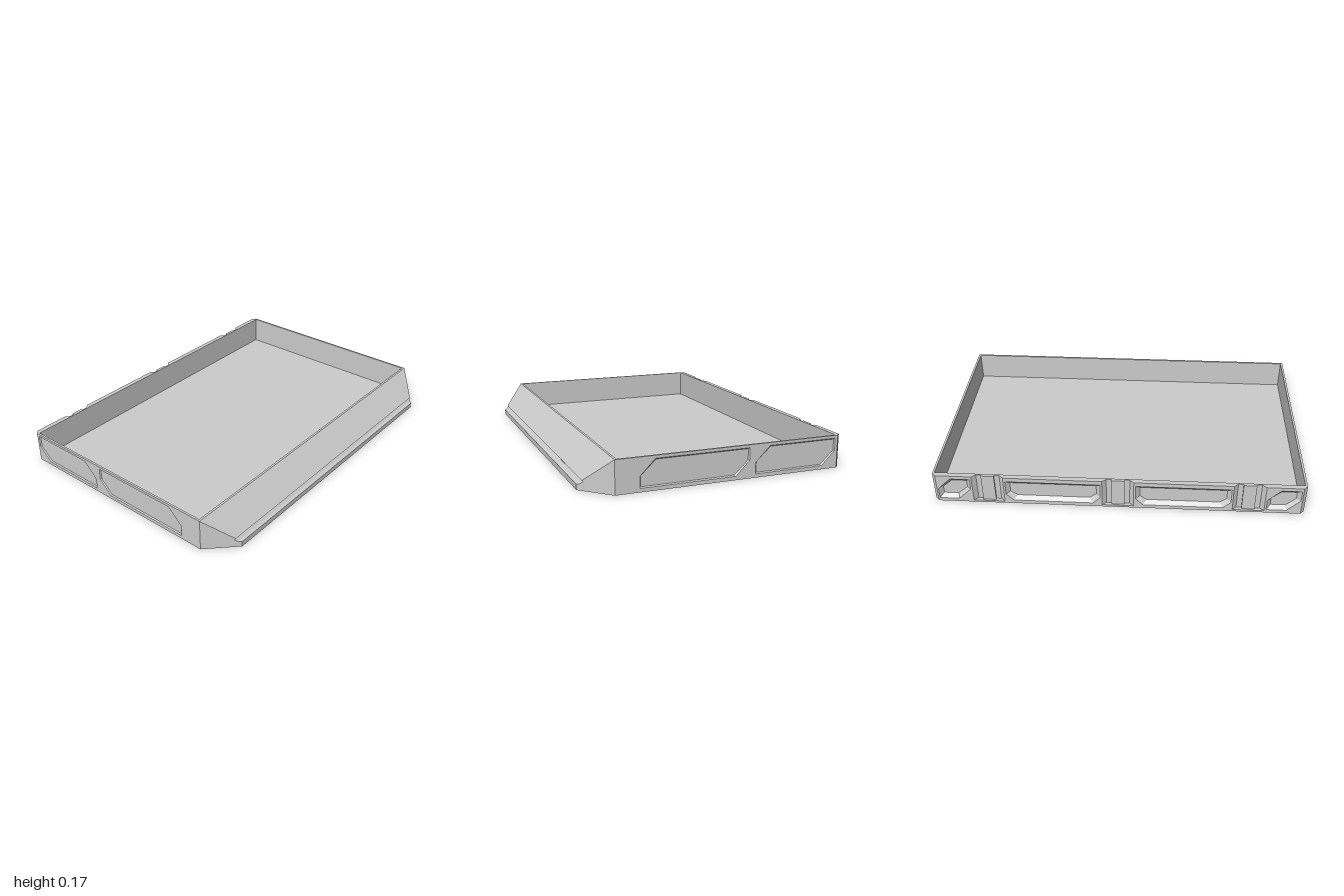
import * as THREE from 'three';

const H = 0.175;        // wall height
const BACK = -0.695;    // rear face
const FRONT = 0.55;     // tray front wall, where the lip begins
const T = 0.012;        // wall and floor thickness
const mat = new THREE.MeshStandardMaterial({ color: 0xcccccc, flatShading: true });
const thin = new THREE.MeshStandardMaterial({ color: 0xcccccc, flatShading: true, side: THREE.DoubleSide });

function add(parent, name, geometry, material = mat) {
  const mesh = new THREE.Mesh(geometry, material);
  mesh.name = name;
  parent.add(mesh);
  return mesh;
}

// Box given by its two extreme corners
function box(parent, name, x0, x1, y0, y1, z0, z1) {
  const g = new THREE.BoxGeometry(x1 - x0, y1 - y0, z1 - z0);
  return add(parent, name, g.translate((x0 + x1) / 2, (y0 + y1) / 2, (z0 + z1) / 2));
}

// Rectangle with optional cut corners, counter-clockwise
function cutRect(x0, x1, y0, y1, { tr = 0, tl = 0, bl = 0, br = 0 } = {}) {
  const p = [];
  const corner = (x, y, c, ax, ay, bx, by) => {
    if (!c) p.push(new THREE.Vector2(x, y));
    else p.push(new THREE.Vector2(x + ax * c, y + ay * c), new THREE.Vector2(x + bx * c, y + by * c));
  };
  corner(x0, y0, bl, 0, 1, 1, 0);
  corner(x1, y0, br, -1, 0, 0, 1);
  corner(x1, y1, tr, 0, -1, -1, 0);
  corner(x0, y1, tl, 1, 0, 0, -1);
  return p;
}

function fromTriangles(list) {
  const g = new THREE.BufferGeometry().setFromPoints(list);
  g.computeVertexNormals();
  return g;
}

// Sloping rim of a recess, from its outline at z = 0 to a smaller outline at z = depth
function bevelRing(outline, bevel, depth) {
  const b = new THREE.Box2().setFromPoints(outline);
  const c = b.getCenter(new THREE.Vector2()), s = b.getSize(new THREE.Vector2());
  const outer = outline.map(p => new THREE.Vector3(p.x, p.y, 0));
  const inner = outline.map(p => new THREE.Vector3(
    c.x + (p.x - c.x) * (1 - 2 * bevel / s.x),
    c.y + (p.y - c.y) * (1 - 2 * bevel / s.y), depth));
  const tris = [];
  outer.forEach((a, i) => {
    const j = (i + 1) % outer.length;
    tris.push(a, inner[i], outer[j], outer[j], inner[i], inner[j]);
  });
  return fromTriangles(tris);
}

// Outer skin with recesses; its visible face is at z = 0 and looks along -z
function skin(name, x0, x1, recesses, depth, bevel) {
  const group = new THREE.Group();
  group.name = name;
  const shape = new THREE.Shape(cutRect(x0, x1, 0, H));
  recesses.forEach(r => shape.holes.push(new THREE.Path(r)));
  add(group, name + 'Skin', new THREE.ExtrudeGeometry(shape, { depth, bevelEnabled: false }));
  recesses.forEach(r => add(group, 'recessBevel', bevelRing(r, bevel, depth), thin));
  return group;
}

// Upright prism from a plan outline of [x, z] points
function prism(parent, name, plan) {
  const shape = new THREE.Shape(plan.map(([x, z]) => new THREE.Vector2(x, -z)));
  const g = new THREE.ExtrudeGeometry(shape, { depth: H, bevelEnabled: false });
  return add(parent, name, g.rotateX(-Math.PI / 2));
}

// Hollow front lip: sloped face with a shallow groove, and angled cheeks
function lipGeometry() {
  const profile = [[H, 0.55], [0.052, 0.673], [0.046, 0.668], [0.034, 0.68], [0.03, 0.695], [0, 0.695]];
  const rows = [-1, 1].map(s => profile.map(([y, z]) => new THREE.Vector3(s * (1 - (z - FRONT)), y, z)));
  const [L, R] = rows;
  const footL = new THREE.Vector3(-1, 0, FRONT), footR = new THREE.Vector3(1, 0, FRONT);
  const tris = [];
  for (let i = 0; i < profile.length - 1; i++) {
    tris.push(L[i], L[i + 1], R[i + 1], L[i], R[i + 1], R[i]);
    tris.push(footR, R[i], R[i + 1], footL, L[i + 1], L[i]);
  }
  return fromTriangles(tris);
}

export function createModel() {
  const model = new THREE.Group();
  model.name = 'tray';
  const c = 0.02;               // rear corner chamfer
  const inner = BACK + c;       // bottom of the rear recesses

  // Floor
  const plan = new THREE.Shape(cutRect(-1, 1, -FRONT, -BACK, { tl: c, tr: c }));
  add(model, 'floor', new THREE.ExtrudeGeometry(plan, { depth: T, bevelEnabled: false }).rotateX(-Math.PI / 2));

  // Inner walls
  box(model, 'frontWall', -1, 1, 0, H, FRONT - T, FRONT);
  box(model, 'backWall', -0.99, 0.99, 0, H, inner, inner + 0.008);

  // Side walls with two recessed panels each
  for (const s of [1, -1]) {
    const side = new THREE.Group();
    side.name = s > 0 ? 'leftSide' : 'rightSide';
    side.scale.x = s;
    box(side, 'sideWall', 1 - T, 0.994, 0, H, inner, FRONT);
    const panels = [[-0.16, 0.425], [-0.66, -0.195]].map(([a, b]) =>
      cutRect(a, b, 0.02, 0.16, { tr: 0.08, bl: 0.075 }));
    const outer = skin('sidePanel', inner, FRONT, panels, 0.006, 0.006);
    outer.rotation.y = -Math.PI / 2;
    outer.position.x = 1;
    side.add(outer);
    prism(side, 'rearCorner', [[0.98, BACK], [0.98, inner], [1, inner]]);
    model.add(side);
  }

  // Rear sections: two long recesses and two small ones near the corners
  const hex = { tr: 0.07, bl: 0.07 }, tub = { bl: 0.04, br: 0.04 };
  const sections = [
    [-0.98, -0.785, cutRect(-0.972, -0.795, 0.02, 0.155, hex)],
    [-0.615, -0.085, cutRect(-0.605, -0.095, 0.022, 0.15, tub)],
    [0.085, 0.615, cutRect(0.095, 0.605, 0.022, 0.15, tub)],
    [0.785, 0.98, cutRect(0.795, 0.972, 0.02, 0.155, hex)],
  ];
  for (const [x0, x1, recess] of sections) {
    const section = skin('rearSection', x0, x1, [recess], c, 0.022);
    section.position.z = BACK;
    model.add(section);
  }

  // Vertical channels between the rear sections
  for (const x of [-0.7, 0, 0.7]) {
    for (const s of [-1, 1]) {
      const e = x + s * 0.085;
      prism(model, 'channelSide', [[e, BACK], [e, inner], [e - s * 0.022, inner]]);
    }
    box(model, 'channelRib', x - 0.035, x + 0.035, 0, H, BACK + 0.01, inner);
  }

  add(model, 'frontLip', lipGeometry(), thin);
  return model;
}
